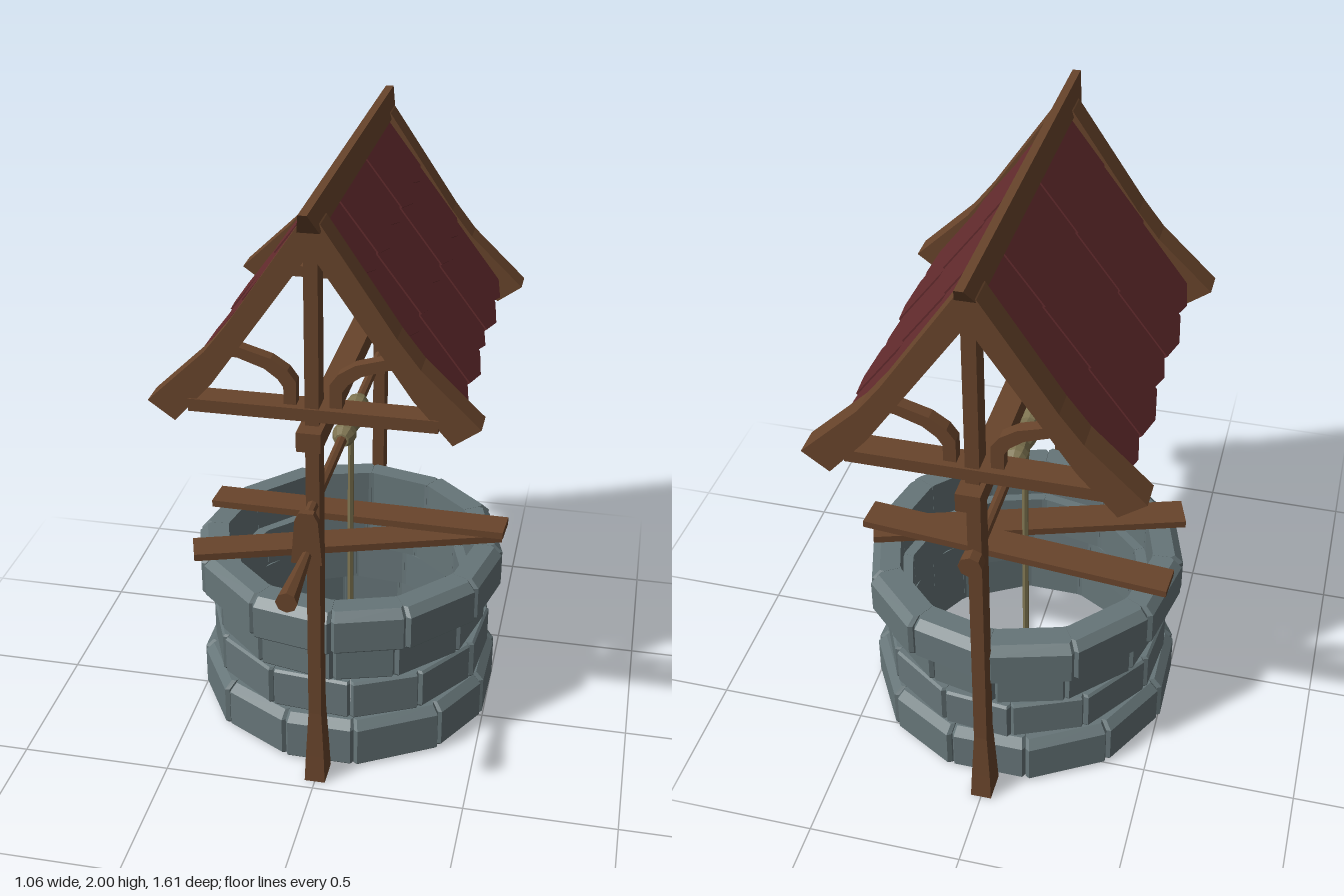
import * as THREE from 'three';
import { mergeGeometries } from 'three/addons/utils/BufferGeometryUtils.js';

const mat = (name, color) => new THREE.MeshStandardMaterial({ name, color, flatShading: true });
const WELL_Z = -0.14;
const POSTS = [0.417, -0.692];

// Solid through matching convex cross-sections, capped at both ends, flat-shaded
function loft(sections) {
  const tris = [], n = sections[0].length, last = sections[sections.length - 1];
  for (let s = 0; s + 1 < sections.length; s++) {
    const a = sections[s], b = sections[s + 1];
    for (let i = 0; i < n; i++) {
      const j = (i + 1) % n;
      tris.push([a[i], a[j], b[j]], [a[i], b[j], b[i]]);
    }
  }
  for (let i = 1; i + 1 < n; i++) {
    tris.push([sections[0][0], sections[0][i + 1], sections[0][i]], [last[0], last[i], last[i + 1]]);
  }
  // Turn the faces outward when the enclosed volume comes out negative
  const v = (p) => new THREE.Vector3(...p);
  const volume = tris.reduce((sum, [a, b, c]) => sum + v(a).dot(v(b).cross(v(c))), 0);
  if (volume < 0) tris.forEach((t) => t.reverse());
  const g = new THREE.BufferGeometry();
  g.setAttribute('position', new THREE.Float32BufferAttribute(tris.flat(2), 3));
  g.computeVertexNormals();
  return g;
}

// Horizontal rectangle at height y
const rect = (y, hx, z0, z1) => [[-hx, y, z0], [hx, y, z0], [hx, y, z1], [-hx, y, z1]];

function extrudeXY(points, depth, z) {
  const shape = new THREE.Shape(points.map((p) => new THREE.Vector2(...p)));
  return new THREE.ExtrudeGeometry(shape, { depth, bevelEnabled: false }).translate(0, 0, z - depth / 2);
}

export function createModel() {
  const root = new THREE.Group();
  root.name = 'wishingWell';
  const wood = mat('wood', 0x68442b);
  const stone = mat('stone', 0x667578);
  const tile = mat('roofTile', 0x632b2d);
  const rope = mat('rope', 0x7d7350);
  let seed = 7;
  const rand = () => (seed = (seed * 16807) % 2147483647) / 2147483647 - 0.5;

  const add = (name, geometry, material, parent = root) => {
    const mesh = new THREE.Mesh(geometry, material);
    mesh.name = name;
    parent.add(mesh);
    return mesh;
  };
  const box = (name, size, pos) => {
    const mesh = add(name, new THREE.BoxGeometry(...size), wood);
    mesh.position.set(...pos);
    return mesh;
  };

  // Stone courses: twelve chamfered blocks each [bottom, top, outer radius, inner radius, first joint, top bevel]
  const courses = [
    [0.005, 0.174, 0.516, 0.425, 15, 0.028],
    [0.174, 0.317, 0.485, 0.4, 9, 0.008],
    [0.317, 0.461, 0.472, 0.395, 2, 0.008],
    [0.461, 0.61, 0.531, 0.43, 2, 0.028],
  ];
  courses.forEach(([y0, y1, R, inner, first, bevel], row) => {
    const joints = Array.from({ length: 12 }, (_, i) => first + i * 30 + rand() * 5);
    const blocks = joints.map((start, i) => {
      const end = i < 11 ? joints[i + 1] : joints[0] + 360;
      const r = R + rand() * 0.01;
      const section = (deg, cut) => {
        const t = THREE.MathUtils.degToRad(deg), o = r - cut;
        return [[inner, y0], [o - 0.008, y0], [o, y0 + 0.008], [o, y1 - bevel], [o - bevel, y1], [inner, y1]]
          .map(([q, y]) => [q * Math.sin(t), y, WELL_Z + q * Math.cos(t)]);
      };
      return loft([section(start + 0.05, 0.012), section(start + 1.3, 0), section(end - 1.3, 0), section(end - 0.05, 0.012)]);
    });
    add('stoneCourse' + (row + 1), mergeGeometries(blocks), stone);
  });

  // Posts and gable frames, front and back
  const gable = [[0, 1.975], [0.03, 1.945], [0.25, 1.62], [0.32, 1.53], [0.5, 1.357], [0.418, 1.298], [0.3, 1.43], [0, 1.86]];
  const brace = [[0.05, 1.37], [0.05, 1.45], [0.075, 1.485], [0.125, 1.518], [0.24, 1.552],
    [0.265, 1.515], [0.225, 1.513], [0.145, 1.485], [0.105, 1.455], [0.088, 1.43], [0.088, 1.37]];
  POSTS.forEach((z, i) => {
    const end = i ? 'back' : 'front';
    const ring = (y, hx, hz) => rect(y, hx, z - hz, z + hz);
    add(end + 'Post', loft([ring(0, 0.034, 0.049), ring(0.1, 0.03, 0.043), ring(0.27, 0.021, 0.036), ring(1.87, 0.021, 0.035)]), wood);
    box(end + 'TieBeam', [0.75, 0.04, 0.085], [0, 1.356, z]);
    const zb = i ? -0.7 : 0.41;
    for (const s of [-1, 1]) {
      const side = s > 0 ? 'Left' : 'Right';
      add(end + side + 'GableBoard', extrudeXY(gable.map(([x, y]) => [s * x, y]), 0.09, zb), wood);
      add(end + side + 'Brace', extrudeXY(brace.map(([x, y]) => [s * x, y]), 0.04, z), wood);
    }
  });
  box('longBeam', [0.074, 0.062, 1.285], [0, 1.289, -0.138]);

  // Roof slopes: backing panel with pointed shingles, the second and fourth columns wider and raised
  const slope = new THREE.Vector2(0.42, -0.59).normalize();
  for (const s of [-1, 1]) {
    const roof = new THREE.Group();
    roof.name = s > 0 ? 'leftRoofSlope' : 'rightRoofSlope';
    const up = new THREE.Vector3(-s * slope.x, -slope.y, 0);
    const out = new THREE.Vector3(-s * slope.y, slope.x, 0);
    const along = new THREE.Vector3(0, 0, -s);
    new THREE.Matrix4().makeBasis(along, up, out).decompose(roof.position, roof.quaternion, roof.scale);
    roof.position.set(s * 0.005, 1.932, -0.143);
    add('roofPanel', new THREE.BoxGeometry(1.03, 0.69, 0.018).translate(0, -0.345, -0.01), tile, roof);
    const rowEnds = [0.245, 0.47, 0.732];
    rowEnds.forEach((tip, row) => {
      for (let c = 0; c < 5; c++) {
        const head = row ? rowEnds[row - 1] - 0.08 : 0.02, len = tip - head, odd = c % 2;
        const w = odd ? 0.235 : 0.205, drop = odd ? 0 : 0.012;
        const pts = [[-w / 2, 0], [-w / 2, 0.03 - len + drop], [0, drop - len], [w / 2, 0.03 - len + drop], [w / 2, 0]];
        const g = extrudeXY(pts, 0.01, 0.003).rotateX(-0.03);
        add('shingle', g.translate((c - 2) * 0.205, -head, odd ? 0.005 : 0), tile, roof);
      }
    });
    root.add(roof);
  }
  add('ridgeBeam', loft([rect(1.925, 0.033, -0.735, 0.475), rect(2, 0.013, -0.8, 0.545)]), wood);

  // Windlass: axle, end knob, rope coil and hanging rope
  const AXLE_Y = 1.05;
  const rod = (name, r0, r1, z0, z1, y) => {
    const g = new THREE.CylinderGeometry(r1, r0, z1 - z0, 8).rotateX(Math.PI / 2);
    return add(name, g.translate(0, y, (z0 + z1) / 2), wood);
  };
  rod('axle', 0.018, 0.018, -0.77, 0.54, AXLE_Y);
  rod('axleKnob', 0.037, 0.037, -0.78, -0.74, AXLE_Y);
  const coil = [[0, -0.16], [0.024, -0.157], [0.038, -0.125], [0.04, -0.1], [0.032, -0.055], [0.04, -0.015],
    [0.04, 0.015], [0.032, 0.055], [0.04, 0.1], [0.038, 0.125], [0.024, 0.157], [0, 0.16]];
  const coilGeo = new THREE.LatheGeometry(coil.map((p) => new THREE.Vector2(...p)), 10).rotateX(Math.PI / 2);
  add('ropeCoil', coilGeo.translate(0, AXLE_Y, -0.135), rope);
  add('hangingRope', new THREE.CylinderGeometry(0.011, 0.011, 1.0, 6).translate(0, 0.545, -0.135), rope);

  // Crank arm and tapered handle
  const arm = [[-0.048, 0.898], [0.048, 0.898], [0.036, 1.045], [0.022, 1.073], [-0.022, 1.073], [-0.036, 1.045]];
  add('crankArm', extrudeXY(arm, 0.024, 0.532), wood);
  rod('crankHandle', 0.015, 0.033, 0.535, 0.805, 0.928);

  // Two loose planks resting across the rim
  const plank = (name, a, b, thick) => {
    const from = new THREE.Vector3(...a), to = new THREE.Vector3(...b);
    const mesh = box(name, [from.distanceTo(to), thick, 0.11], from.clone().add(to).multiplyScalar(0.5).toArray());
    mesh.quaternion.setFromUnitVectors(new THREE.Vector3(1, 0, 0), to.sub(from).normalize());
  };
  plank('lowerPlank', [-0.495, 0.624, 0.105], [0.505, 0.624, -0.225], 0.025);
  plank('upperPlank', [-0.512, 0.63, -0.255], [0.53, 0.658, -0.19], 0.025);

  return root;
}
